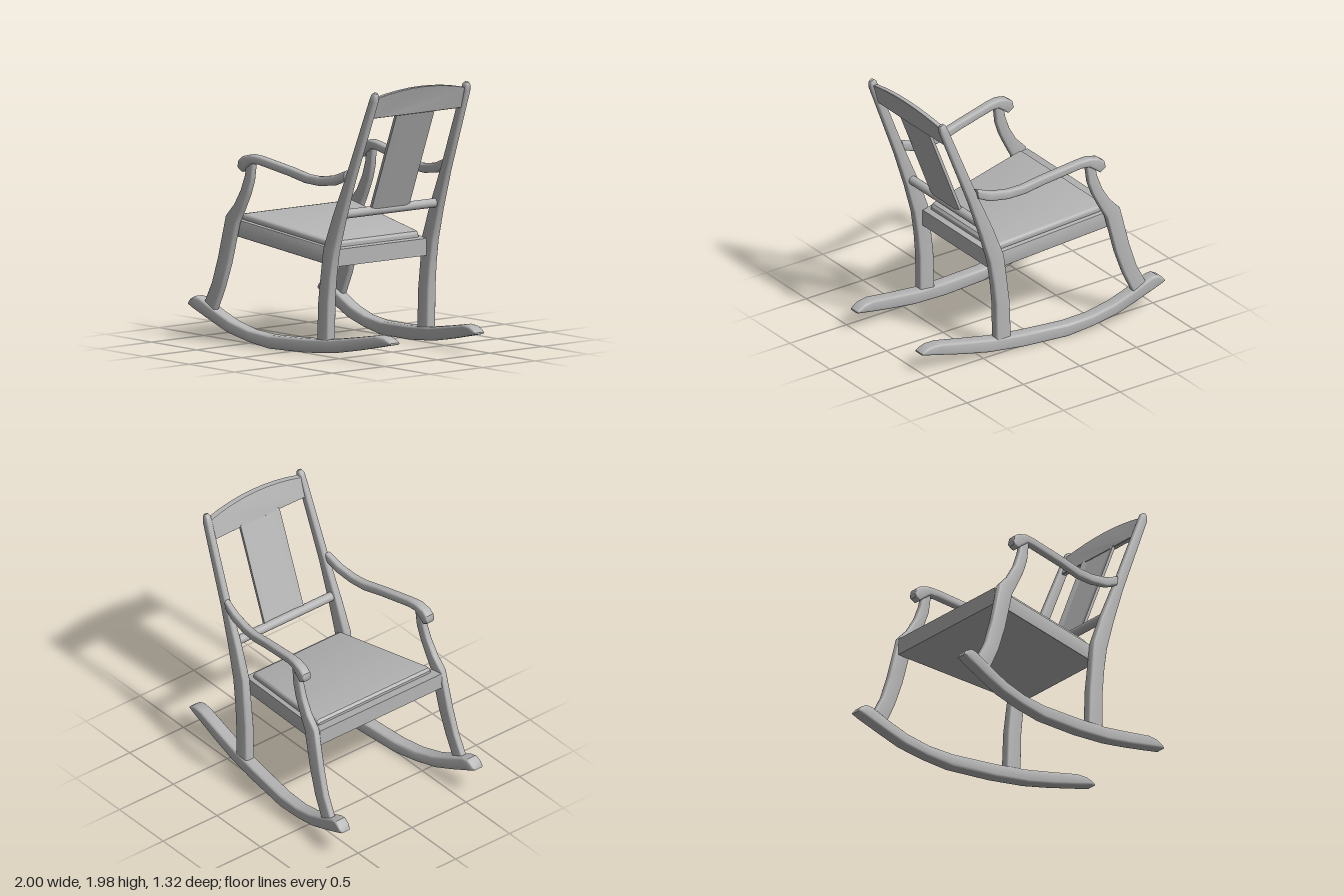
import * as THREE from 'three';
import { toCreasedNormals } from 'three/addons/utils/BufferGeometryUtils.js';

const wood = new THREE.MeshStandardMaterial({ color: 0xb4b4b4 });
wood.name = 'plain grey wood';

// Lofts rounded rectangles along a path. Each station is
// [ax, ay, bx, by, z, width]: a and b are the two profile edges in the x-y plane.
function loft(stations, radius, crease = 0.6) {
  const pos = [], index = [], arc = 3, n = 4 * (arc + 1);
  for (const [ax, ay, bx, by, z, w] of stations) {
    const h = Math.hypot(ax - bx, ay - by);
    const r = Math.min(radius, h * 0.48, w * 0.48);
    const ux = (ax - bx) / h, uy = (ay - by) / h;
    for (let c = 0; c < 4; c++) {
      const su = c === 0 || c === 3 ? 1 : -1, sv = c < 2 ? 1 : -1;
      for (let k = 0; k <= arc; k++) {
        const t = (c + k / arc) * Math.PI / 2;
        const u = su * (h / 2 - r) + r * Math.cos(t);
        const v = sv * (w / 2 - r) + r * Math.sin(t);
        pos.push((ax + bx) / 2 + ux * u, (ay + by) / 2 + uy * u, z + v);
      }
    }
  }
  const last = (stations.length - 1) * n;
  for (let i = 0; i < last; i += n) {
    for (let j = 0; j < n; j++) {
      const k = (j + 1) % n;
      index.push(i + j, i + k, i + n + k, i + j, i + n + k, i + n + j);
    }
  }
  for (let j = 1; j < n - 1; j++) {
    index.push(0, j + 1, j, last, last + j, last + j + 1);
  }
  const g = new THREE.BufferGeometry();
  g.setAttribute('position', new THREE.Float32BufferAttribute(pos, 3));
  g.setIndex(index);
  return toCreasedNormals(g, crease);
}

// Top edge, bottom edge and width of each rocker section
const rocker = [
  [-0.995, 0.262, -1.0, 0.245, 0.08], [-0.97, 0.29, -0.985, 0.238, 0.095],
  [-0.93, 0.312, -0.95, 0.222, 0.1], [-0.88, 0.303, -0.9, 0.2, 0.1],
  [-0.72, 0.225, -0.77, 0.143, 0.1], [-0.58, 0.165, -0.61, 0.078, 0.1],
  [-0.4, 0.118, -0.41, 0.032, 0.1], [-0.2, 0.1, -0.2, 0.002, 0.1],
  [0.15, 0.112, 0.16, 0.01, 0.1], [0.4, 0.13, 0.45, 0.037, 0.1],
  [0.62, 0.165, 0.66, 0.075, 0.1], [0.85, 0.205, 0.86, 0.118, 0.1],
  [0.93, 0.2, 0.95, 0.138, 0.1], [0.975, 0.182, 0.985, 0.145, 0.095],
  [1.0, 0.162, 1.0, 0.15, 0.085],
].map(([ax, ay, bx, by, w]) => [ax, ay, bx, by, 0.509 - 0.107 * (ax + bx) / 2, w]);

const rearPost = [
  [0.26, 0.1, 0.385, 0.1, 0.476, 0.08], [0.27, 0.4, 0.39, 0.4, 0.475, 0.078],
  [0.29, 0.58, 0.408, 0.58, 0.473, 0.073], [0.315, 0.79, 0.437, 0.76, 0.47, 0.068],
  [0.4, 1.02, 0.505, 0.99, 0.463, 0.06], [0.53, 1.32, 0.605, 1.29, 0.455, 0.052],
  [0.775, 1.92, 0.838, 1.9, 0.436, 0.05], [0.79, 1.955, 0.843, 1.945, 0.434, 0.046],
  [0.81, 1.972, 0.838, 1.962, 0.434, 0.028],
];

const frontLeg = [
  [-0.855, 0.265, -0.74, 0.22, 0.608, 0.05], [-0.77, 0.43, -0.66, 0.39, 0.604, 0.052],
  [-0.71, 0.62, -0.595, 0.58, 0.597, 0.054], [-0.635, 0.93, -0.52, 0.88, 0.587, 0.054],
  [-0.55, 1.02, -0.465, 0.98, 0.583, 0.052], [-0.485, 1.13, -0.405, 1.1, 0.578, 0.05],
  [-0.445, 1.24, -0.37, 1.2, 0.573, 0.048], [-0.425, 1.35, -0.35, 1.35, 0.57, 0.046],
];

const armrest = [
  [-0.508, 1.315, -0.5, 1.285, 0.572, 0.07], [-0.5, 1.35, -0.462, 1.265, 0.572, 0.075],
  [-0.46, 1.38, -0.425, 1.295, 0.571, 0.075], [-0.38, 1.4, -0.37, 1.332, 0.566, 0.072],
  [-0.3, 1.395, -0.31, 1.333, 0.558, 0.066], [0.0, 1.345, -0.01, 1.28, 0.526, 0.06],
  [0.17, 1.31, 0.15, 1.244, 0.508, 0.058], [0.28, 1.306, 0.29, 1.238, 0.496, 0.056],
  [0.42, 1.327, 0.44, 1.258, 0.481, 0.052], [0.543, 1.375, 0.535, 1.3, 0.468, 0.046],
];

// Height of the sloping seat frame's top edge
const seatTop = (x) => 0.826 - 0.138 * x;

export function createModel() {
  const model = new THREE.Group();
  model.name = 'rockingChair';
  const add = (name, geometry) => {
    const mesh = new THREE.Mesh(geometry, wood);
    mesh.name = name;
    model.add(mesh);
    return mesh;
  };

  // Mirrored side parts
  for (const [side, s] of [['left', -1], ['right', 1]]) {
    const flip = (list) => list.map(([ax, ay, bx, by, z, w]) => [ax, ay, bx, by, s * z, w]);
    add(side + 'Rocker', loft(flip(rocker), 0.018));
    add(side + 'RearPost', loft(flip(rearPost), 0.016));
    add(side + 'FrontLeg', loft(flip(frontLeg), 0.014));
    add(side + 'Armrest', loft(flip(armrest), 0.016));
  }

  // Tapering seat frame, closed underneath
  const frame = (x, w) => [x, seatTop(x), x, seatTop(x) - 0.125, 0, w];
  add('seatFrame', loft([frame(-0.645, 1.13), frame(-0.57, 1.12), frame(0.373, 0.87)], 0.004, 0.4));

  // Padded seat with softened edges
  const pad = (x, lift, w) => [x, seatTop(x) + lift, x, seatTop(x) - 0.012, 0, w];
  add('seatCushion', loft([
    pad(-0.572, 0.02, 1.04), pad(-0.555, 0.04, 1.046), pad(-0.53, 0.046, 1.043),
    pad(0.29, 0.046, 0.822), pad(0.312, 0.042, 0.814), pad(0.325, 0.025, 0.8),
  ], 0.02));

  // Lower back bar
  const bar = add('lowerBackBar', new THREE.CylinderGeometry(0.034, 0.034, 0.9, 16));
  bar.rotation.x = Math.PI / 2;
  bar.position.set(0.462, 1.044, 0);

  // Broad back slat, its two side strips angled slightly forwards
  const slat = new THREE.Shape([
    [0, -0.18], [0.024, -0.18], [0.036, -0.128], [0.036, 0.128],
    [0.024, 0.18], [0, 0.18], [0.012, 0.128], [0.012, -0.128],
  ].map(([x, z]) => new THREE.Vector2(x, z)));
  const slatGeometry = new THREE.ExtrudeGeometry(slat, { depth: 0.73, bevelEnabled: false });
  slatGeometry.rotateX(-Math.PI / 2);
  const shear = new THREE.Matrix4().makeShear(0, 0, 0.388, 0, 0, 0);
  slatGeometry.applyMatrix4(shear).translate(0.458, 1.06, 0);
  add('backSlat', toCreasedNormals(slatGeometry, 0.15));

  // Crest rail with an arched top, leaning and bowing backwards
  const crest = new THREE.Shape();
  const steps = 8, half = 0.425;
  for (let i = 0; i <= steps; i++) {
    const z = half * (2 * i / steps - 1);
    i ? crest.lineTo(z, 1.778) : crest.moveTo(z, 1.778);
  }
  for (let i = steps; i >= 0; i--) {
    const t = 2 * i / steps - 1;
    crest.lineTo(half * t, 1.975 - 0.05 * t * t);
  }
  const crestGeometry = new THREE.ExtrudeGeometry(crest, {
    depth: 0.032, bevelThickness: 0.004, bevelSize: 0.003, bevelSegments: 1,
  });
  crestGeometry.rotateY(Math.PI / 2);
  const p = crestGeometry.attributes.position;
  for (let i = 0; i < p.count; i++) {
    const t = p.getZ(i) / half;
    p.setX(i, p.getX(i) + 0.742 + 0.3 * (p.getY(i) - 1.775) + 0.004 * (1 - t * t));
  }
  add('crestRail', toCreasedNormals(crestGeometry, 0.4));

  return model;
}
